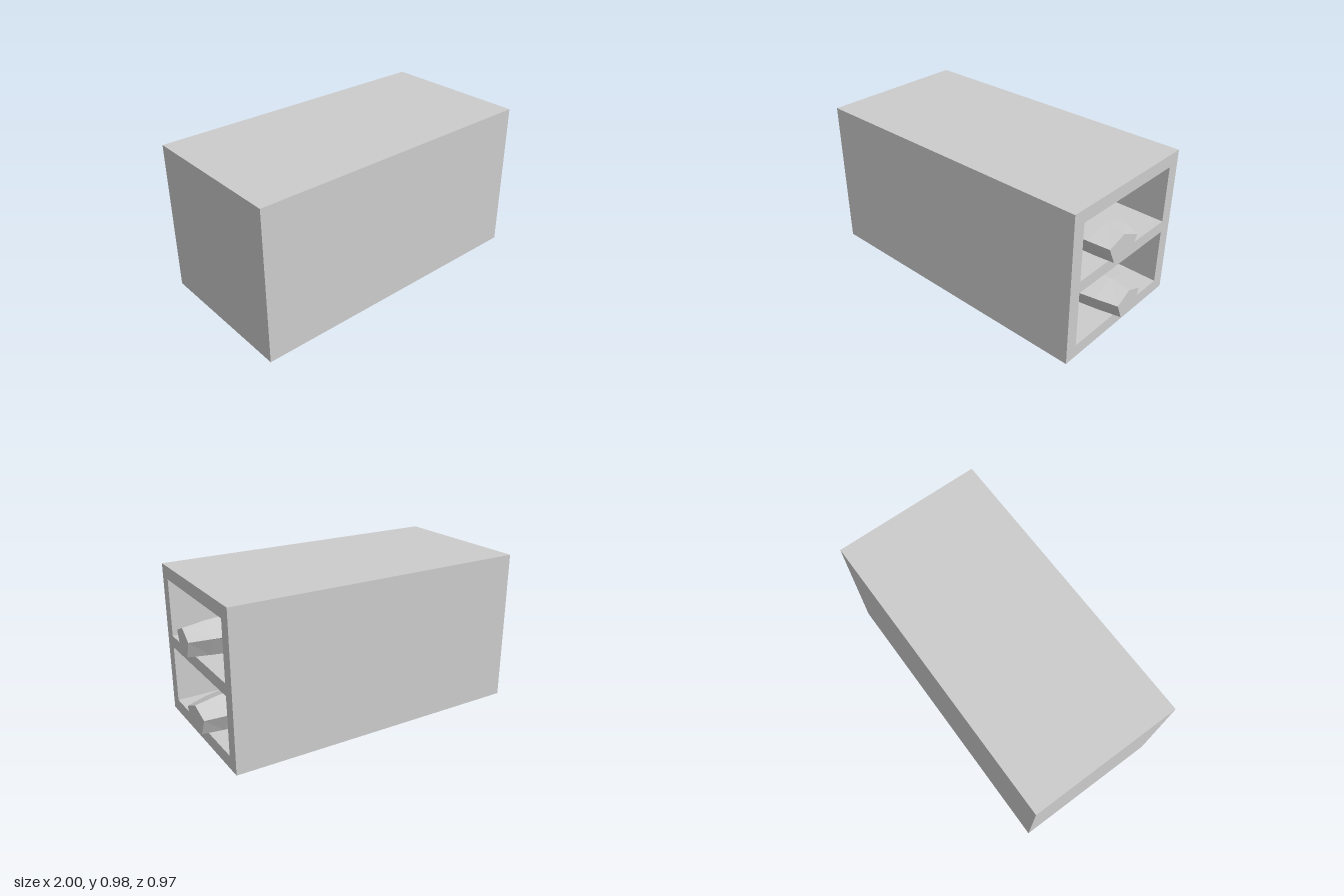
import * as THREE from 'three';

const FRONT = 0.945, BACK = -1, WALL = 0.08;
const HEIGHT = 0.975, HALF = 0.487;

// Cabinet body: a rectangular frame with two openings, extruded along x
function frameGeometry() {
  const rect = (path, x0, y0, x1, y1) => {
    path.moveTo(x0, y0);
    path.lineTo(x1, y0);
    path.lineTo(x1, y1);
    path.lineTo(x0, y1);
    path.closePath();
    return path;
  };
  const shape = rect(new THREE.Shape(), -HALF, 0, HALF, HEIGHT);
  for (const [y0, y1] of [[0.083, 0.45], [0.526, 0.893]]) {
    shape.holes.push(rect(new THREE.Path(), -0.405, y0, 0.405, y1));
  }
  const geo = new THREE.ExtrudeGeometry(shape, { depth: FRONT - BACK - WALL, bevelEnabled: false });
  return geo.rotateY(Math.PI / 2).translate(BACK + WALL, 0, 0);
}

// Wrapped bundle: five-sided cross-sections joined along x, closed at both ends
function bundleGeometry() {
  // x, half width at the sides, half width at the base, side height, ridge height
  const sections = [
    [0, 0.117, 0.07, 0.107, 0.158],
    [-0.13, 0.154, 0.095, 0.119, 0.181],
    [-0.88, 0.293, 0.188, 0.144, 0.271],
    [-1.62, 0.154, 0.095, 0.119, 0.181],
    [-1.75, 0.117, 0.07, 0.107, 0.158],
  ];
  const rings = sections.map(([x, side, base, mid, top]) => [
    [x, 0, base], [x, 0, -base], [x, mid, -side], [x, top, 0], [x, mid, side],
  ]);
  const pos = [];
  const tri = (a, b, c) => pos.push(...a, ...b, ...c);
  for (let i = 0; i < rings.length - 1; i++) {
    const near = rings[i], far = rings[i + 1];
    for (let j = 0; j < 5; j++) {
      const k = (j + 1) % 5;
      tri(near[j], far[j], near[k]);
      tri(near[k], far[j], far[k]);
    }
  }
  const first = rings[0], last = rings[rings.length - 1];
  for (let j = 1; j < 4; j++) {
    tri(first[0], first[j], first[j + 1]);
    tri(last[0], last[j + 1], last[j]);
  }
  const geo = new THREE.BufferGeometry();
  geo.setAttribute('position', new THREE.Float32BufferAttribute(pos, 3));
  geo.computeVertexNormals();
  return geo;
}

export function createModel() {
  const group = new THREE.Group();
  const grey = new THREE.MeshStandardMaterial({ color: 0xcccccc });
  grey.name = 'grey';

  const add = (name, geo) => {
    const mesh = new THREE.Mesh(geo, grey);
    mesh.name = name;
    group.add(mesh);
    return mesh;
  };

  // Two-bay cabinet, closed at the far end
  add('cabinetFrame', frameGeometry());
  const back = add('cabinetBack', new THREE.BoxGeometry(WALL, HEIGHT, HALF * 2));
  back.position.set(BACK + WALL / 2, HEIGHT / 2, 0);

  // One bundle in each bay, slightly askew
  const bundle = bundleGeometry();
  const lower = add('lowerBundle', bundle);
  lower.position.set(0.99, 0.087, -0.033);
  lower.rotation.y = 0.045;
  const upper = add('upperBundle', bundle);
  upper.position.set(0.99, 0.534, 0.085);
  upper.rotation.y = -0.085;

  return group;
}
